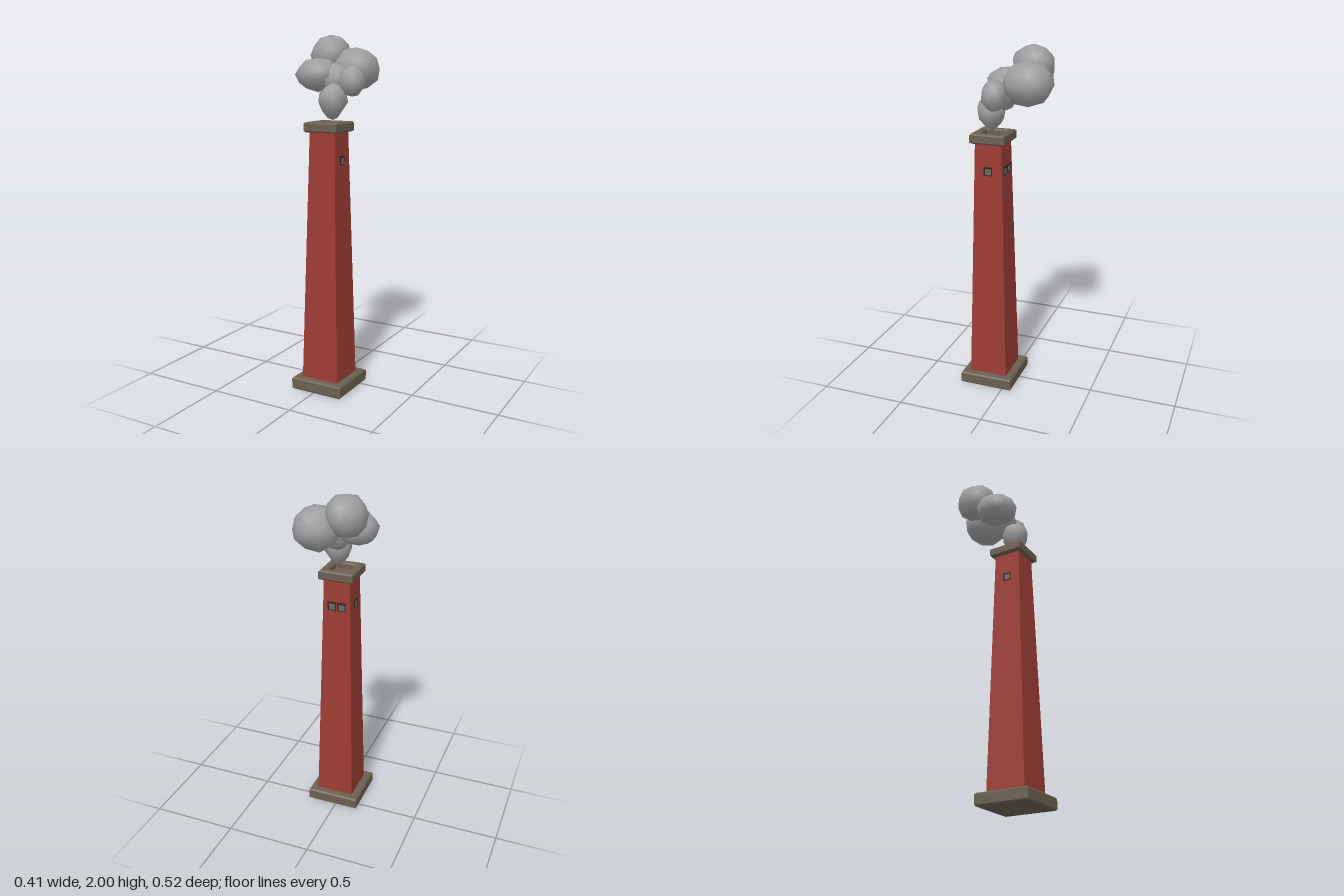
import * as THREE from 'three';
import { mergeVertices } from 'three/addons/utils/BufferGeometryUtils.js';

const mat = (name, color, flatShading = false) => {
  const m = new THREE.MeshStandardMaterial({ color, flatShading });
  m.name = name;
  return m;
};

function add(parent, name, geometry, material, x = 0, y = 0, z = 0) {
  const mesh = new THREE.Mesh(geometry, material);
  mesh.name = name;
  mesh.position.set(x, y, z);
  parent.add(mesh);
  return mesh;
}

const square = (h, Type = THREE.Shape) =>
  new Type([[-h, -h], [h, -h], [h, h], [-h, h]].map(([x, y]) => new THREE.Vector2(x, y)));

// Square slab with bevelled edges and an optional square opening, resting on y = 0
function slab(half, height, hole = 0) {
  const b = 0.008;
  const shape = square(half - b);
  if (hole) shape.holes.push(square(hole + b, THREE.Path));
  return new THREE.ExtrudeGeometry(shape, {
    depth: height - 2 * b, bevelThickness: b, bevelSize: b, bevelSegments: 1,
  }).rotateX(-Math.PI / 2).translate(0, b, 0);
}

// Four-sided shaft that narrows towards the top
function taperedShaft(bottom, top, height) {
  const g = new THREE.BoxGeometry(2, height, 2).translate(0, height / 2, 0);
  const p = g.attributes.position;
  for (let i = 0; i < p.count; i++) {
    const s = THREE.MathUtils.lerp(bottom, top, p.getY(i) / height);
    p.setX(i, p.getX(i) * s);
    p.setZ(i, p.getZ(i) * s);
  }
  g.computeVertexNormals();
  return g;
}

// Lumpy low-poly puff with soft shading; taper narrows its lower half
function puff(rx, ry, rz, seed, taper = 0) {
  let g = new THREE.IcosahedronGeometry(1, 1);
  g.deleteAttribute('uv');
  g.deleteAttribute('normal');
  g = mergeVertices(g, 1e-4);
  const p = g.attributes.position;
  for (let i = 0; i < p.count; i++) {
    const [x, y, z] = [p.getX(i), p.getY(i), p.getZ(i)];
    const k = 1 + 0.05 * Math.sin(seed * 2.3 + x * 4 + y * 5 - z * 3);
    const t = k * (1 - taper * Math.max(0, -y));
    p.setXYZ(i, x * rx * t, y * ry * k, z * rz * t);
  }
  g.computeVertexNormals();
  return g;
}

export function createModel() {
  const brick = mat('brick red', 0x9c3c34, true);
  const stone = mat('brown stone', 0x6b5f50, true);
  const glass = mat('window grey', 0x6e685e, true);
  const dark = mat('window shadow', 0x302824, true);
  const smokeGrey = mat('smoke grey', 0x9e9ea0);

  const model = new THREE.Group();
  model.name = 'smokingChimney';

  // Stack: foot, shaft and hollow cap
  const stack = new THREE.Group();
  stack.name = 'stack';
  stack.position.set(0.019, 0, 0.1);
  model.add(stack);
  const footTop = 0.07, shaftH = 1.41, bottom = 0.112, top = 0.077;
  add(stack, 'foot', slab(0.157, footTop), stone);
  add(stack, 'shaft', taperedShaft(bottom, top, shaftH), brick, 0, footTop, 0);
  add(stack, 'cap', slab(0.101, 0.055, 0.058), stone, 0, 1.473, 0);
  add(stack, 'flueFloor', new THREE.BoxGeometry(0.14, 0.01, 0.14), stone, 0, 1.49, 0);

  // Windows: one on each side, a pair at the back
  const windowY = 1.32;
  const reach = THREE.MathUtils.lerp(bottom, top, (windowY - footTop) / shaftH);
  const tilt = Math.atan((bottom - top) / shaftH);
  const sides = [
    ['left', Math.PI / 2, [0]],
    ['right', -Math.PI / 2, [0]],
    ['back', Math.PI, [-0.029, 0.029]],
  ];
  for (const [side, turn, offsets] of sides) {
    const wall = new THREE.Group();
    wall.name = side + 'Windows';
    wall.rotation.y = turn;
    stack.add(wall);
    for (const x of offsets) {
      const opening = new THREE.Group();
      opening.name = 'window';
      opening.position.set(x, windowY, reach);
      opening.rotation.x = -tilt;
      wall.add(opening);
      add(opening, 'frame', new THREE.BoxGeometry(0.05, 0.05, 0.005), dark);
      add(opening, 'pane', new THREE.BoxGeometry(0.034, 0.034, 0.007), glass, 0.002, -0.003, 0);
    }
  }

  // Smoke: a tapered neck rising into billowing puffs
  const smoke = new THREE.Group();
  smoke.name = 'smoke';
  model.add(smoke);
  const puffs = [
    // name, centre, radii, taper
    ['neckPuff', [0.042, 1.635, 0.1], [0.08, 0.1, 0.082], 0.45],
    ['middlePuff', [0.02, 1.745, 0.03], [0.1, 0.1, 0.085], 0.3],
    ['frontPuff', [-0.083, 1.78, 0.045], [0.122, 0.092, 0.12], 0],
    ['sidePuff', [0.13, 1.745, 0.05], [0.075, 0.085, 0.07], 0],
    ['largePuff', [0.072, 1.81, -0.12], [0.132, 0.122, 0.137], 0],
    ['topPuff', [-0.083, 1.885, -0.1], [0.11, 0.113, 0.12], 0],
  ];
  puffs.forEach(([name, c, r, taper], i) =>
    add(smoke, name, puff(...r, i + 1, taper), smokeGrey, ...c));

  return model;
}
